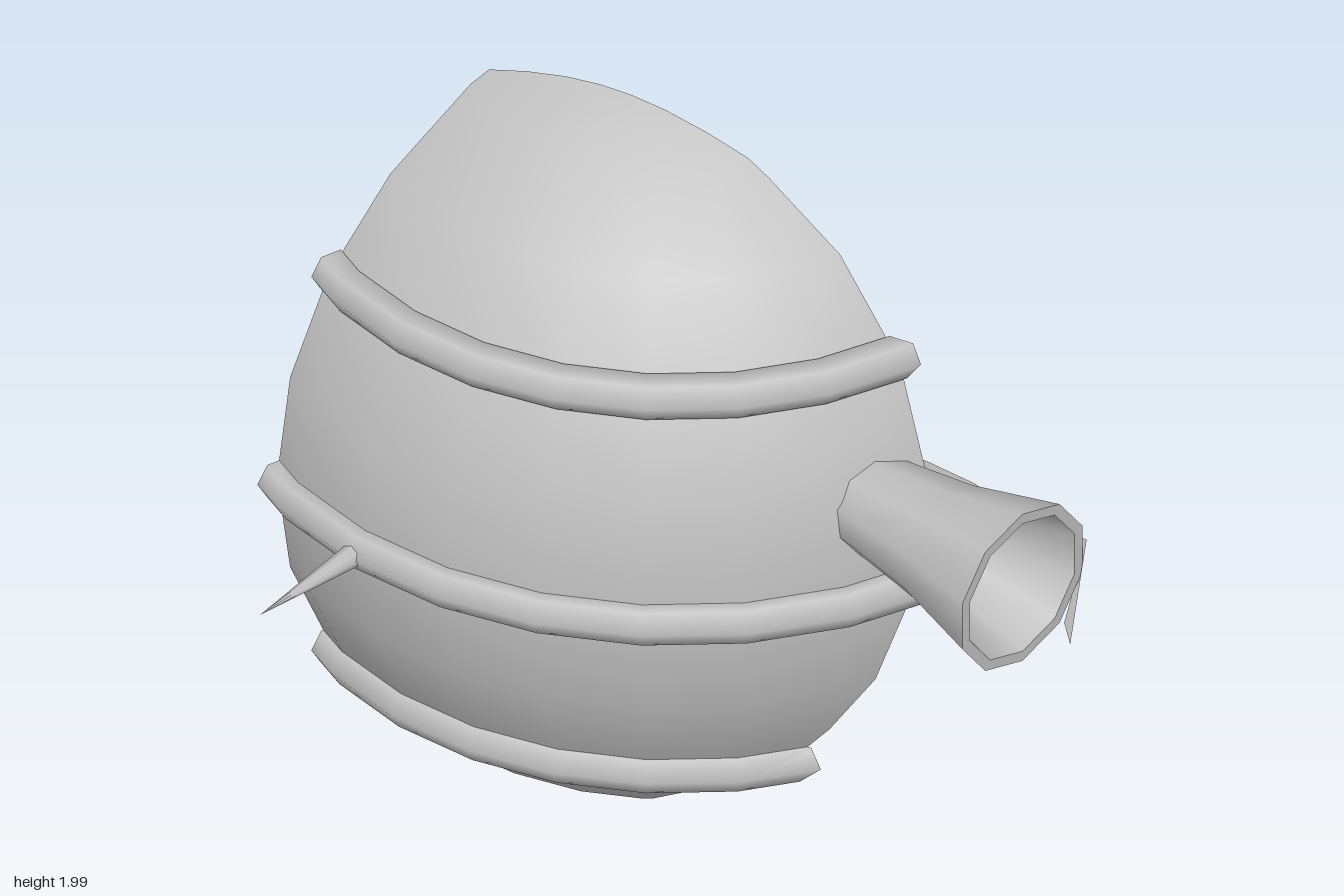
import * as THREE from 'three';

const CENTER = new THREE.Vector3(0.865, 0.89, -0.6);
const RADIUS = 1.19;

// slanted side cut: x = 0.21 + 0.203 y + 0.29 z
const sideX = (y, z) => 0.21 + 0.203 * y + 0.29 * z;
const planeThrough = (normal, point) =>
  new THREE.Plane().setFromNormalAndCoplanarPoint(normal.normalize(), point);
const SIDE_CUT = planeThrough(new THREE.Vector3(1, -0.203, -0.29), new THREE.Vector3(0.21, 0, 0));
// upright rear cut
const REAR_CUT = planeThrough(new THREE.Vector3(0.25, 0, -1), new THREE.Vector3(0.36, 0, -0.81));

// list of triangles, each with three {p, n} corners
function toTriangles(geometry) {
  const g = geometry.index ? geometry.toNonIndexed() : geometry;
  const pos = g.attributes.position, nor = g.attributes.normal, tris = [];
  for (let i = 0; i < pos.count; i += 3) {
    tris.push([0, 1, 2].map(k => ({
      p: new THREE.Vector3().fromBufferAttribute(pos, i + k),
      n: new THREE.Vector3().fromBufferAttribute(nor, i + k),
    })));
  }
  return tris;
}

function toGeometry(tris) {
  const pos = [], nor = [];
  for (const t of tris) for (const c of t) {
    pos.push(c.p.x, c.p.y, c.p.z);
    nor.push(c.n.x, c.n.y, c.n.z);
  }
  const g = new THREE.BufferGeometry();
  g.setAttribute('position', new THREE.Float32BufferAttribute(pos, 3));
  g.setAttribute('normal', new THREE.Float32BufferAttribute(nor, 3));
  return g;
}

// fan over a convex outline lying in the plane
function capFan(points, plane) {
  if (points.length < 3) return [];
  const n = plane.normal;
  const mid = points.reduce((s, p) => s.add(p), new THREE.Vector3()).divideScalar(points.length);
  const v = new THREE.Vector3(0, 1, 0).projectOnPlane(n).normalize();
  const u = v.clone().cross(n);
  const angle = p => Math.atan2(p.clone().sub(mid).dot(v), p.clone().sub(mid).dot(u));
  const ring = points.map(p => ({ p, a: angle(p) })).sort((a, b) => a.a - b.a);
  return ring.map((c, i) => [mid, c.p, ring[(i + 1) % ring.length].p].map(p => ({ p, n })));
}

// keep what lies behind the plane; groupOf sorts cut points into separate caps
function cut(tris, plane, groupOf) {
  const kept = [], groups = {};
  for (const t of tris) {
    const d = t.map(c => plane.distanceToPoint(c.p));
    const poly = [];
    for (let i = 0; i < 3; i++) {
      const j = (i + 1) % 3;
      if (d[i] <= 0) poly.push(t[i]);
      if ((d[i] <= 0) !== (d[j] <= 0)) {
        const f = d[i] / (d[i] - d[j]);
        const c = { p: t[i].p.clone().lerp(t[j].p, f), n: t[i].n.clone().lerp(t[j].n, f).normalize() };
        poly.push(c);
        if (groupOf) (groups[groupOf(c.p)] ||= []).push(c.p);
      }
    }
    for (let i = 1; i + 1 < poly.length; i++) kept.push([poly[0], poly[i], poly[i + 1]]);
  }
  for (const points of Object.values(groups)) kept.push(...capFan(points, plane));
  return kept;
}

function sliced(geometry, groupOf) {
  const first = cut(toTriangles(geometry), SIDE_CUT, groupOf);
  return toGeometry(cut(first, REAR_CUT, () => 0));
}

export function createModel() {
  const model = new THREE.Group();
  const grey = new THREE.MeshStandardMaterial({ color: 0xc0c0c0, side: THREE.DoubleSide });
  grey.name = 'plain grey';
  const add = (name, geometry) => {
    const mesh = new THREE.Mesh(geometry, grey);
    mesh.name = name;
    model.add(mesh);
    return mesh;
  };

  // slice of a large ball
  const ball = new THREE.SphereGeometry(RADIUS, 28, 12).translate(...CENTER.toArray());
  add('body', sliced(ball, () => 0));

  // three raised hoops
  for (const [name, dy] of [['upperHoop', 0.606], ['middleHoop', 0], ['lowerHoop', -0.606]]) {
    const hoop = new THREE.TorusGeometry(Math.sqrt(RADIUS ** 2 - dy ** 2), 0.06, 6, 28)
      .rotateX(Math.PI / 2)
      .translate(CENTER.x, CENTER.y + dy, CENTER.z);
    add(name, sliced(hoop, p => (p.z > CENTER.z ? 'front' : 'rear')));
  }

  // flared nozzle: outside, rim, inside and floor, profiles as [radius, z]
  const nozzle = {
    nozzleOutside: [[0.13, 0.4], [0.14, 0.5], [0.168, 0.7], [0.238, 0.97]],
    nozzleRim: [[0.238, 0.97], [0.207, 0.97]],
    nozzleInside: [[0.207, 0.97], [0.145, 0.75], [0.115, 0.6]],
    nozzleFloor: [[0.115, 0.6], [0, 0.6]],
  };
  for (const [name, profile] of Object.entries(nozzle)) {
    const lathe = new THREE.LatheGeometry(profile.map(([r, z]) => new THREE.Vector2(r, z)), 10)
      .rotateX(Math.PI / 2)
      .translate(0.485, 1.13, 0);
    add(name, toGeometry(cut(toTriangles(lathe), SIDE_CUT)));
  }

  // flat web along the nozzle, flush with the side cut, outline as [z, y]
  const outline = [[0.42, 1.24], [0.52, 1.23], [0.65, 1.21], [0.7, 1.19], [0.97, 1.15], [0.97, 0.845],
    [0.945, 0.9], [0.955, 0.995], [0.7, 1.0], [0.55, 0.98], [0.42, 0.97]];
  const web = new THREE.ShapeGeometry(new THREE.Shape(outline.map(([z, y]) => new THREE.Vector2(-z, y))));
  web.rotateY(Math.PI / 2);
  const pos = web.attributes.position;
  for (let i = 0; i < pos.count; i++) pos.setX(i, sideX(pos.getY(i), pos.getZ(i)) + 0.002);
  web.computeVertexNormals();
  add('nozzleWeb', web);

  // thin spike on the middle hoop
  add('spike', new THREE.ConeGeometry(0.038, 0.415, 8).rotateZ(Math.PI / 2).translate(-0.5075, 0.887, -0.6));

  return model;
}
